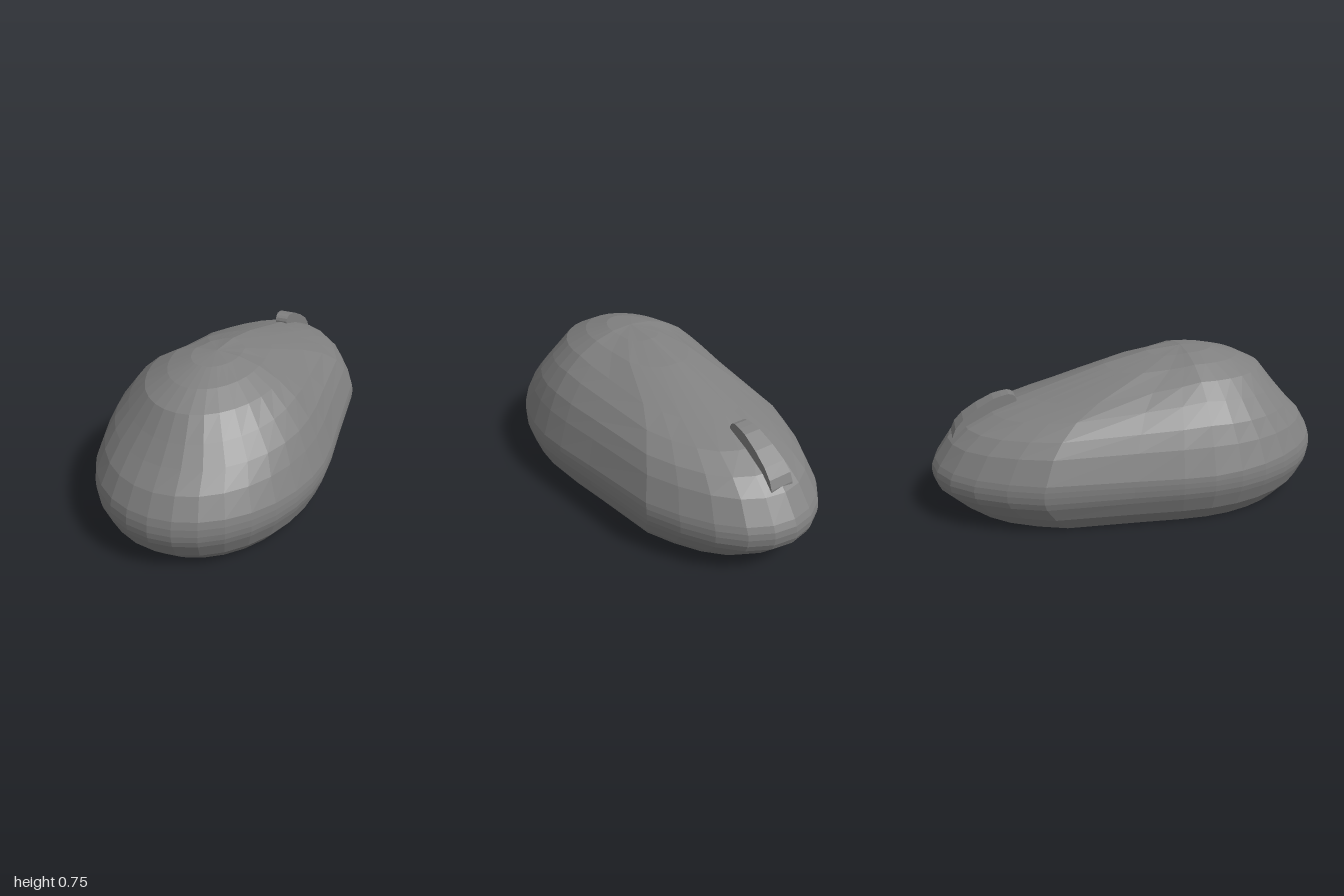
import * as THREE from 'three';

// Shell profiles from the base up to the crown: [reach, height] per ring
const CROWN_Z = 0.28;
const SIDE = [[0.45, 0], [0.51, 0.08], [0.54, 0.16], [0.548, 0.19], [0.55, 0.22], [0.549, 0.245],
  [0.545, 0.27], [0.5, 0.4], [0.46, 0.49], [0.39, 0.585], [0.31, 0.655], [0.21, 0.71],
  [0.11, 0.74], [0, 0.75]];
const REAR = [[0.87, 0], [0.95, 0.08], [0.99, 0.16], [0.998, 0.19], [1, 0.22], [0.996, 0.255],
  [0.985, 0.29], [0.93, 0.38], [0.85, 0.46], [0.78, 0.54], [0.7, 0.64], [0.58, 0.7],
  [0.44, 0.74], [CROWN_Z, 0.75]];
const NOSE = [[-0.81, 0], [-0.91, 0.08], [-0.98, 0.15], [-0.996, 0.185], [-1, 0.22], [-0.995, 0.25],
  [-0.98, 0.28], [-0.91, 0.38], [-0.83, 0.45], [-0.7, 0.51], [-0.5, 0.57], [-0.12, 0.685],
  [0.1, 0.735], [CROWN_Z, 0.75]];
// How far each step past the widest point runs towards the nose (long, nearly straight flanks)
const NOSE_REACH = [0, 0.12, 0.3, 0.625, 0.75, 0.86, 0.94, 0.985, 1];
const SEGMENTS = 32;

function shellPoint(ring, i) {
  const angle = (i / SEGMENTS) * Math.PI * 2;
  const step = Math.abs(8 - (i <= 16 ? i : SEGMENTS - i));
  const towardsNose = i > 8 && i < 24;
  const reach = towardsNose ? NOSE_REACH[step] : Math.sin((step * Math.PI) / 16);
  const [endZ, endY] = (towardsNose ? NOSE : REAR)[ring];
  const [halfWidth, sideY] = SIDE[ring];
  // shallow finger hollows either side of the middle, on the upper front
  const hollow = towardsNose && ring > 7 && ring < 13
    ? 0.02 * Math.sin((step * Math.PI) / 8) * Math.sin(((ring - 7) * Math.PI) / 6) : 0;
  return [
    halfWidth * Math.sin(angle),
    THREE.MathUtils.lerp(sideY, endY, reach) - hollow,
    THREE.MathUtils.lerp(CROWN_Z, endZ, reach),
  ];
}

// Closed shell made of stacked rings, with a flat underside
function shellGeometry() {
  const positions = [];
  const index = [];
  SIDE.forEach((_, ring) => {
    for (let i = 0; i < SEGMENTS; i++) positions.push(...shellPoint(ring, i));
  });
  const base = positions.length / 3;
  positions.push(0, 0, 0);
  for (let i = 0; i < SEGMENTS; i++) {
    const next = (i + 1) % SEGMENTS;
    index.push(base, next, i);
    for (let ring = 0; ring < SIDE.length - 1; ring++) {
      const a = ring * SEGMENTS + i;
      const b = ring * SEGMENTS + next;
      index.push(a, b, b + SEGMENTS);
      if (ring < SIDE.length - 2) index.push(a, b + SEGMENTS, a + SEGMENTS);
    }
  }
  const geometry = new THREE.BufferGeometry();
  geometry.setAttribute('position', new THREE.Float32BufferAttribute(positions, 3));
  geometry.setIndex(index);
  geometry.computeVertexNormals();
  return geometry;
}

// Arched scroll strip that widens towards the nose
function scrollGeometry() {
  const outline = [[-0.57, 0.5], [-0.568, 0.555], [-0.575, 0.57], [-0.587, 0.58], [-0.605, 0.585],
    [-0.64, 0.58], [-0.68, 0.57], [-0.76, 0.53], [-0.83, 0.483], [-0.87, 0.44], [-0.888, 0.4],
    [-0.89, 0.37], [-0.78, 0.42]];
  const shape = new THREE.Shape(outline.map(([z, y]) => new THREE.Vector2(z, y)));
  const geometry = new THREE.ExtrudeGeometry(shape, { depth: 1, bevelEnabled: false });
  geometry.translate(0, 0, -0.5).rotateY(-Math.PI / 2);
  const p = geometry.attributes.position;
  for (let i = 0; i < p.count; i++) {
    const width = THREE.MathUtils.mapLinear(p.getZ(i), -0.57, -0.89, 0.065, 0.125);
    p.setX(i, p.getX(i) * width);
  }
  geometry.computeVertexNormals();
  return geometry;
}

export function createModel() {
  const material = new THREE.MeshStandardMaterial({ color: 0x808080, flatShading: true });
  const model = new THREE.Group();
  model.name = 'computerMouse';

  const shell = new THREE.Mesh(shellGeometry(), material);
  shell.name = 'shell';
  const scroll = new THREE.Mesh(scrollGeometry(), material);
  scroll.name = 'scrollWheel';

  model.add(shell, scroll);
  return model;
}
